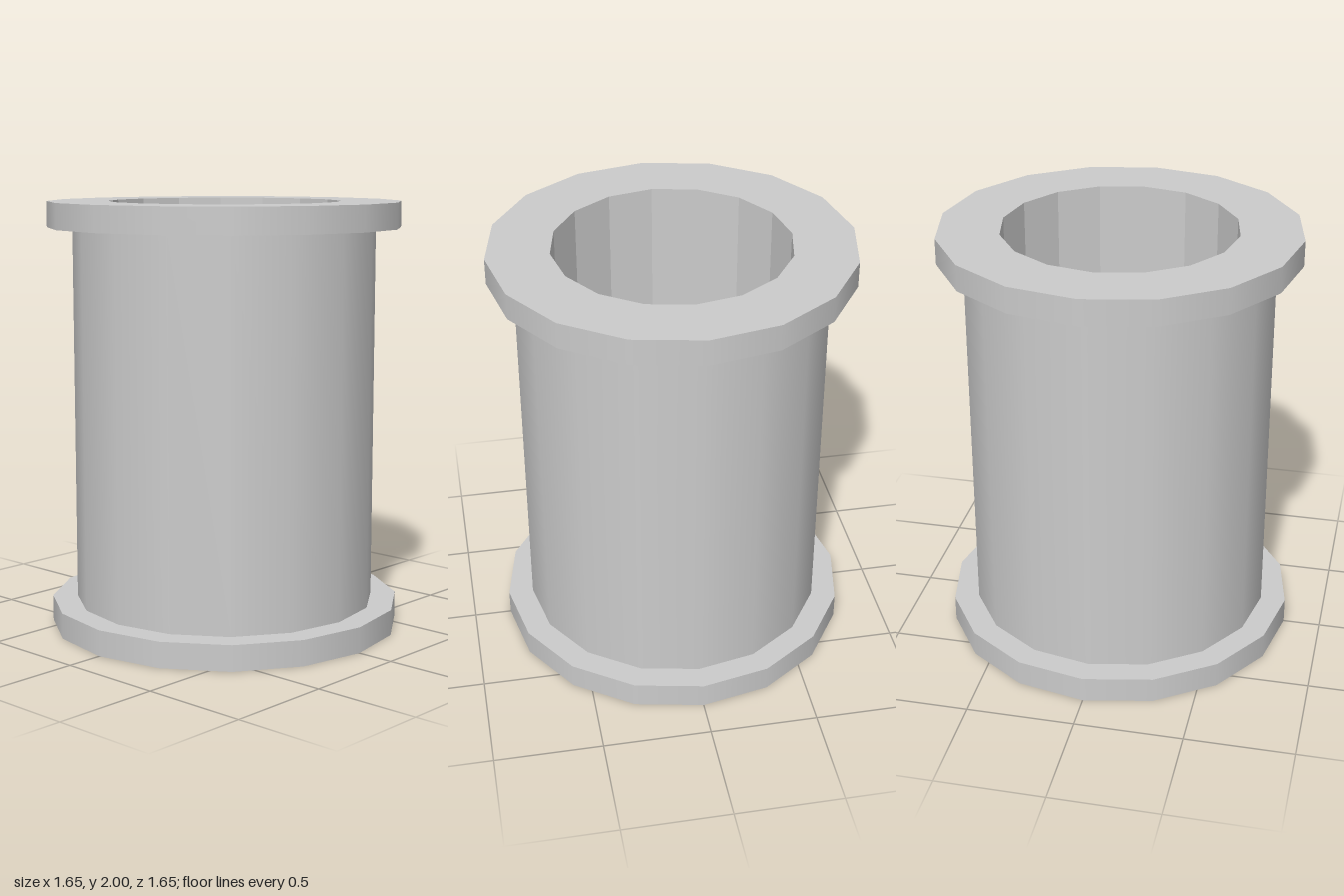
import * as THREE from 'three';

const SIDES = 16;
const HEIGHT = 2, FLANGE = 0.12;
const R_BORE = 0.54, R_TUBE = 0.707, R_FLANGE = 0.825;

const smooth = new THREE.MeshStandardMaterial({ color: 0xcccccc });
const faceted = new THREE.MeshStandardMaterial({ color: 0xcccccc, flatShading: true });

// One turned surface from (r0, y0) to (r1, y1); it faces right of the direction of travel
function turned(name, r0, y0, r1, y1, material = smooth) {
  const profile = [new THREE.Vector2(r0, y0), new THREE.Vector2(r1, y1)];
  const mesh = new THREE.Mesh(new THREE.LatheGeometry(profile, SIDES), material);
  mesh.name = name;
  return mesh;
}

// Flat collar: outer rim, upper face and lower face
function flange(name, y, rTop, rBottom) {
  const group = new THREE.Group();
  group.name = name;
  group.add(
    turned(name + 'Rim', R_FLANGE, y, R_FLANGE, y + FLANGE),
    turned(name + 'UpperFace', R_FLANGE, y + FLANGE, rTop, y + FLANGE, faceted),
    turned(name + 'LowerFace', rBottom, y, R_FLANGE, y, faceted)
  );
  return group;
}

export function createModel() {
  const model = new THREE.Group();
  model.name = 'flangedSleeve';
  model.add(
    // Outer wall between the collars, and the faceted bore through the full height
    turned('tubeWall', R_TUBE, FLANGE, R_TUBE, HEIGHT - FLANGE),
    turned('bore', R_BORE, HEIGHT, R_BORE, 0, faceted),
    flange('bottomFlange', 0, R_TUBE, R_BORE),
    flange('topFlange', HEIGHT - FLANGE, R_BORE, R_TUBE)
  );
  return model;
}
